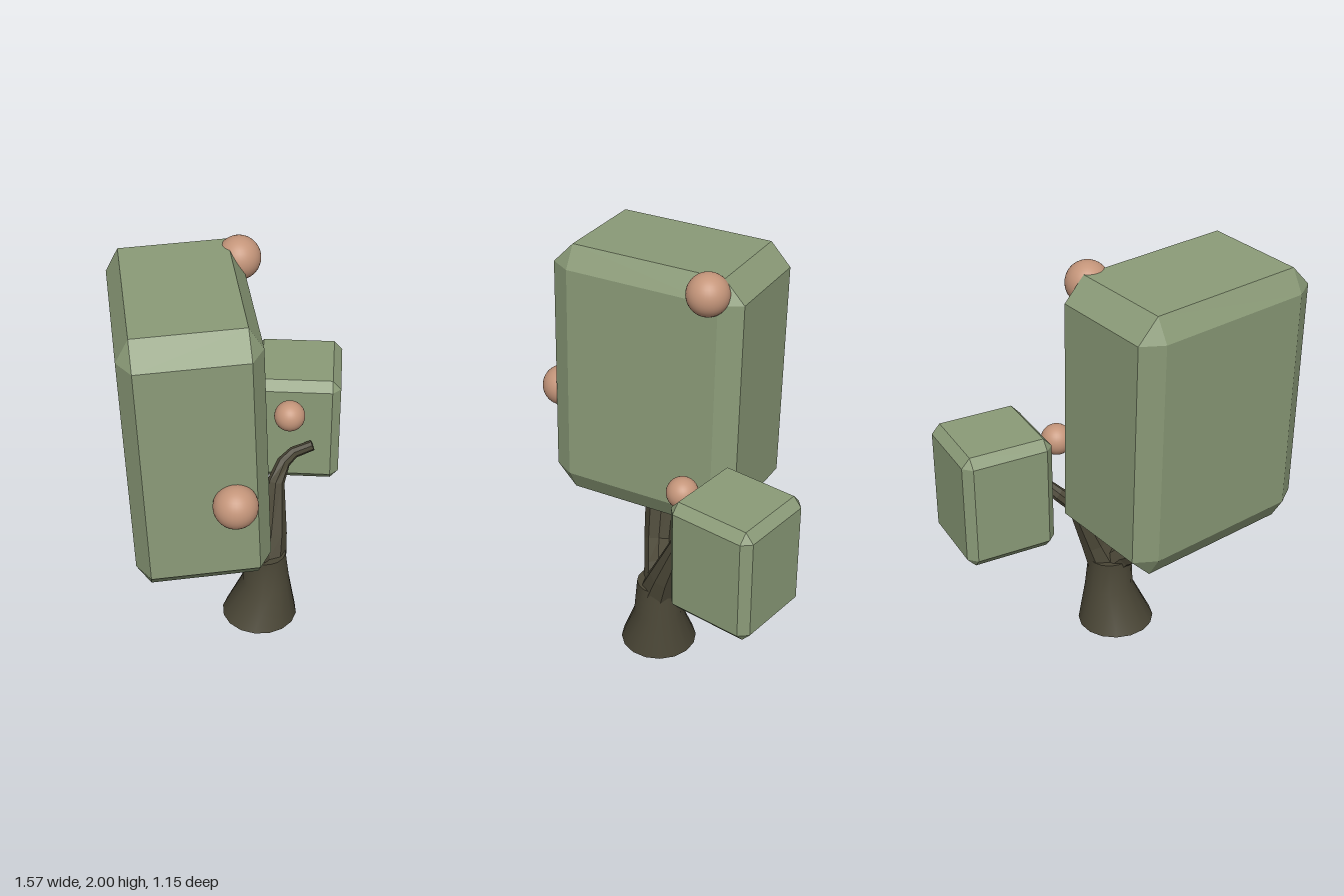
import * as THREE from 'three';
import { ConvexGeometry } from 'three/addons/geometries/ConvexGeometry.js';

const bark = new THREE.MeshStandardMaterial({ color: 0x4a4636, side: THREE.DoubleSide });
const barkFlat = new THREE.MeshStandardMaterial({ color: 0x4a4636, flatShading: true, side: THREE.DoubleSide });
const leaf = new THREE.MeshStandardMaterial({ color: 0x8b9b78, flatShading: true });
const fruit = new THREE.MeshStandardMaterial({ color: 0xc4957a });

function add(group, name, geometry, material) {
  const mesh = new THREE.Mesh(geometry, material);
  mesh.name = name;
  group.add(mesh);
  return mesh;
}

// Box with every edge chamfered; size and bevel are given per axis
function chamferBox(size, bevel) {
  const points = [];
  for (const sx of [-1, 1]) for (const sy of [-1, 1]) for (const sz of [-1, 1]) {
    const s = [sx, sy, sz];
    for (let full = 0; full < 3; full++) {
      points.push(new THREE.Vector3(...s.map((v, k) => v * (size[k] / 2 - (k === full ? 0 : bevel[k])))));
    }
  }
  return new ConvexGeometry(points);
}

// Tapered limb through rings [x, y, z, radius], closed at both ends
function limb(rings, sides, axis) {
  const centres = rings.map(([x, y, z]) => new THREE.Vector3(x, y, z));
  const pos = [], index = [];
  const last = rings.length - 1;
  const ringPoints = rings.map((r, i) => {
    const t = axis ? axis.clone()
      : centres[Math.min(i + 1, last)].clone().sub(centres[Math.max(i - 1, 0)]);
    t.normalize();
    const a = new THREE.Vector3(0, 0, 1).cross(t).normalize();
    const b = t.clone().cross(a);
    return Array.from({ length: sides }, (_, j) => {
      const ang = (j / sides) * Math.PI * 2;
      return centres[i].clone()
        .addScaledVector(a, Math.cos(ang) * r[3])
        .addScaledVector(b, Math.sin(ang) * r[3]);
    });
  });
  ringPoints.forEach((ring) => ring.forEach((p) => pos.push(p.x, p.y, p.z)));
  for (let i = 0; i < last; i++) for (let j = 0; j < sides; j++) {
    const k = (j + 1) % sides, p = i * sides, q = p + sides;
    index.push(p + j, p + k, q + k, p + j, q + k, q + j);
  }
  // End caps with their own vertices so the rims stay sharp
  for (const i of [0, last]) {
    const start = pos.length / 3;
    ringPoints[i].forEach((p) => pos.push(p.x, p.y, p.z));
    for (let j = 1; j < sides - 1; j++) {
      if (i === 0) index.push(start, start + j + 1, start + j);
      else index.push(start, start + j, start + j + 1);
    }
  }
  const g = new THREE.BufferGeometry();
  g.setAttribute('position', new THREE.Float32BufferAttribute(pos, 3));
  g.setIndex(index);
  g.computeVertexNormals();
  return g;
}

export function createModel() {
  const tree = new THREE.Group();
  tree.name = 'tree';

  // Flared trunk
  add(tree, 'trunk', limb([
    [0.018, 0.006, 0.03, 0.185],
    [0.055, 0.2, 0.033, 0.118],
    [0.048, 0.37, 0.03, 0.105],
  ], 16, new THREE.Vector3(0.02, 1, 0)), bark);

  // Forked branches
  add(tree, 'leftBranch', limb([
    [0.065, 0.32, 0.03, 0.095],
    [0.115, 0.45, 0.005, 0.072],
    [0.185, 0.68, -0.06, 0.043],
    [0.26, 0.745, -0.095, 0.034],
    [0.32, 0.78, -0.092, 0.029],
    [0.4, 0.815, -0.045, 0.026],
  ], 8), barkFlat);
  add(tree, 'rightBranch', limb([
    [0.03, 0.34, 0.03, 0.075],
    [-0.03, 0.4, 0.03, 0.068],
    [-0.155, 0.47, 0.025, 0.07],
    [-0.25, 0.69, 0.005, 0.078],
    [-0.3, 0.82, 0, 0.07],
  ], 8), barkFlat);

  // Blocks of foliage, the large one leaning slightly
  const large = chamferBox([0.6, 1.275, 0.955], [0.06, 0.105, 0.1]);
  large.rotateY(-Math.PI / 6).rotateZ(0.026).rotateX(-0.02);
  add(tree, 'largeFoliage', large, leaf).position.set(-0.33, 1.328, -0.035);
  const small = chamferBox([0.43, 0.575, 0.44], [0.04, 0.045, 0.04]);
  small.rotateY(-0.715);
  add(tree, 'smallFoliage', small, leaf).position.set(0.5, 0.857, -0.292);

  // Round fruit
  [
    ['topFruit', 0.062, 1.905, -0.184, 0.098],
    ['frontFruit', -0.455, 1.18, 0.475, 0.098],
    ['sideFruit', 0.273, 1.03, -0.07, 0.074],
  ].forEach(([name, x, y, z, r]) => {
    add(tree, name, new THREE.SphereGeometry(r, 32, 20), fruit).position.set(x, y, z);
  });

  return tree;
}
